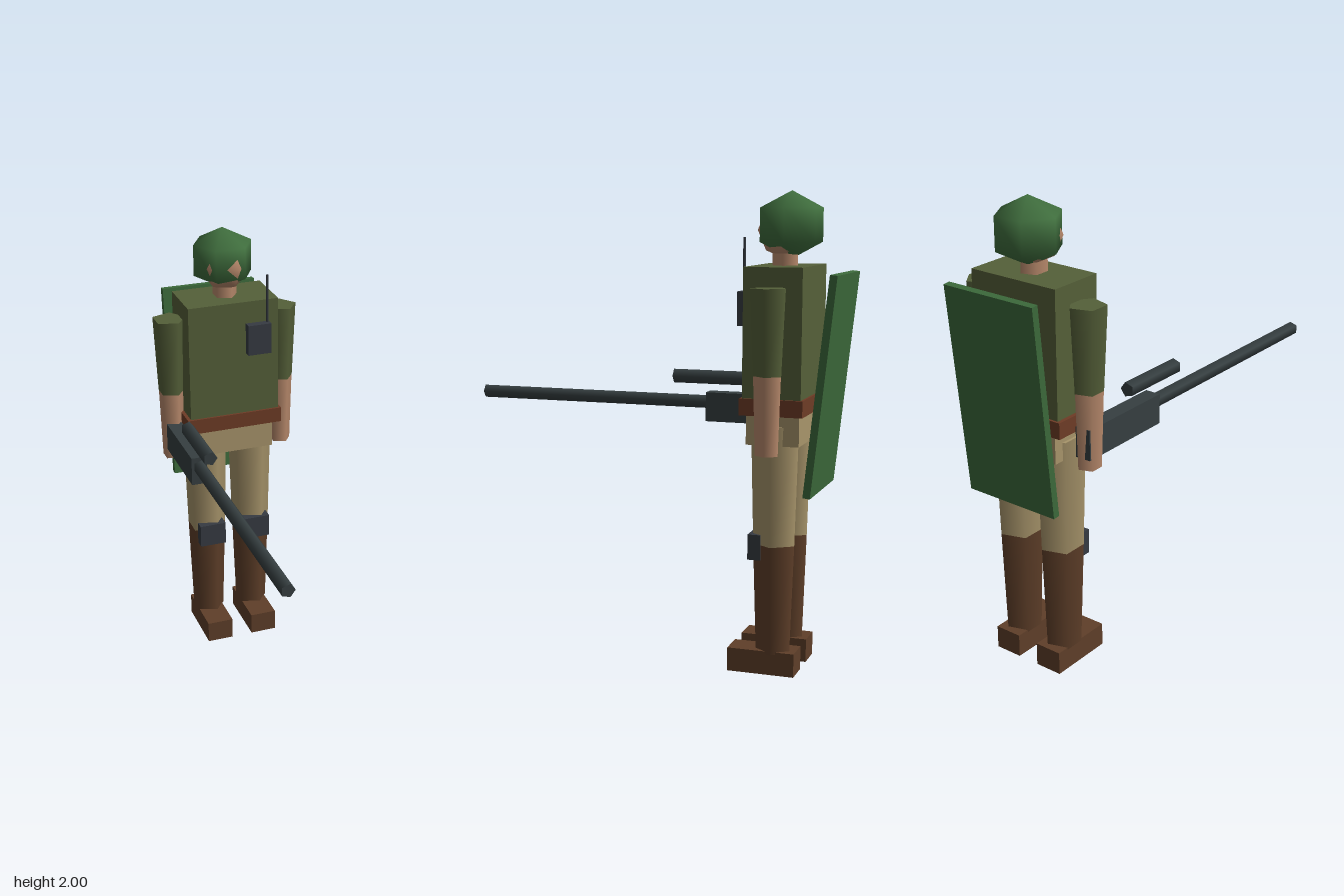
import * as THREE from 'three';

const material = (name, color) => {
  const m = new THREE.MeshStandardMaterial({ color });
  m.name = name;
  return m;
};

export function createModel() {
  const olive = material('olive cloth', 0x556039);
  const green = material('helmet green', 0x41703f);
  const boardGreen = material('board green', 0x3c6a3b);
  const tan = material('tan trousers', 0xa8956b);
  const brown = material('boot brown', 0x5f3f29);
  const leather = material('belt leather', 0x6e3c26);
  const skin = material('skin', 0xba8b6d);
  const gunmetal = material('gunmetal', 0x363f41);
  const dark = material('dark kit', 0x363b42);

  const model = new THREE.Group();
  model.name = 'soldier';

  const add = (name, geometry, mat, x, y, z) => {
    const mesh = new THREE.Mesh(geometry, mat);
    mesh.name = name;
    mesh.position.set(x, y, z);
    model.add(mesh);
    return mesh;
  };
  // Box given by its limits on each axis
  const box = (name, mat, [x0, x1], [y0, y1], [z0, z1]) =>
    add(name, new THREE.BoxGeometry(x1 - x0, y1 - y0, z1 - z0), mat,
      (x0 + x1) / 2, (y0 + y1) / 2, (z0 + z1) / 2);
  // Five-sided tapered limb with one corner towards +x
  const limb = (name, mat, rTop, rBottom, y0, y1, x, z) =>
    add(name, new THREE.CylinderGeometry(rTop, rBottom, y1 - y0, 5, 1, false, Math.PI / 2),
      mat, x, (y0 + y1) / 2, z);
  // The same prism laid along z
  const rod = (name, mat, r, x, y, z0, z1) => {
    const geometry = new THREE.CylinderGeometry(r, r, z1 - z0, 5, 1, false, Math.PI / 2);
    geometry.rotateX(Math.PI / 2);
    return add(name, geometry, mat, x, y, (z0 + z1) / 2);
  };

  const cx = -0.008, cz = -0.62;

  // Head, helmet and neck
  add('head', new THREE.SphereGeometry(0.118, 5, 4, Math.PI), skin, cx, 1.84, cz);
  add('helmet', new THREE.SphereGeometry(0.155, 6, 3), green, cx, 1.861, -0.641)
    .scale.y = 0.139 / 0.155;
  limb('neck', skin, 0.056, 0.056, 1.66, 1.77, cx, cz);

  // Torso
  box('torso', olive, [-0.217, 0.201], [1.13, 1.696], [-0.741, -0.497]);
  box('belt', leather, [-0.233, 0.212], [1.097, 1.166], [-0.751, -0.487]);
  box('hips', tan, [-0.192, 0.175], [0.972, 1.12], [-0.73, -0.508]);

  // Arms and legs, mirrored in position
  for (const [side, s] of [['left', 1], ['right', -1]]) {
    const ax = cx + s * 0.262;
    limb(side + 'Sleeve', olive, 0.077, 0.061, 1.267, 1.616, ax, cz);
    limb(side + 'Forearm', skin, 0.06, 0.05, 0.946, 1.267, ax, cz);

    const lx = cx + s * 0.11;
    limb(side + 'Trouser', tan, 0.106, 0.092, 0.551, 1.05, lx, cz);
    limb(side + 'Boot', brown, 0.092, 0.076, 0.09, 0.551, lx, cz);
    box(side + 'Foot', brown, [lx - 0.061, lx + 0.061], [0, 0.1], [-0.72, -0.434]);
    box(side + 'KneePad', dark, [lx - 0.062, lx + 0.062], [0.487, 0.594], [-0.571, -0.517]);
  }

  // Chest radio with aerial
  box('radio', dark, [0.048, 0.156], [1.455, 1.595], [-0.51, -0.46]);
  limb('aerial', dark, 0.006, 0.006, 1.57, 1.813, 0.147, -0.487);

  // Long gun held in the right hand
  box('gunBody', gunmetal, [-0.307, -0.238], [0.994, 1.123], [-0.66, -0.206]);
  rod('barrel', gunmetal, 0.03, -0.27, 1.079, -0.25, 0.884);
  rod('scope', gunmetal, 0.032, -0.27, 1.189, -0.376, -0.05);

  // Tilted board carried on the back
  const board = add('backBoard', new THREE.BoxGeometry(0.44, 0.902, 0.031), boardGreen,
    cx, 1.22, -0.82);
  board.rotation.x = -0.105;

  return model;
}
